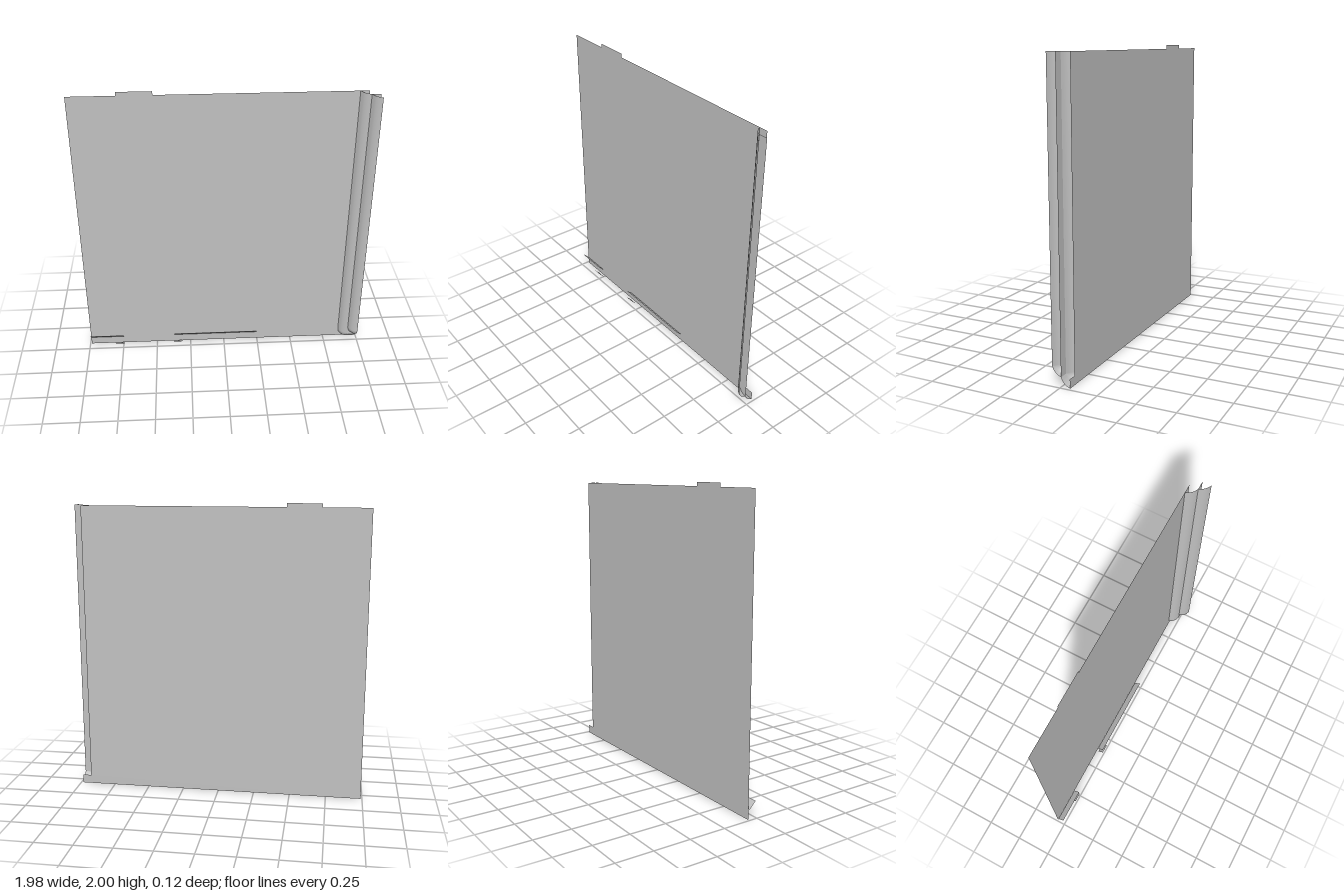
import * as THREE from 'three';

const TOP = 1.975, RIGHT = 0.985, BACK = -0.06, STEP = 0.06;

export function createModel() {
  const group = new THREE.Group();
  const grey = new THREE.MeshStandardMaterial({ color: 0xc0c0c0, side: THREE.DoubleSide });
  grey.name = 'plainGrey';

  const add = (name, geometry) => {
    const mesh = new THREE.Mesh(geometry, grey);
    mesh.name = name;
    group.add(mesh);
  };

  // Surface from a grid of points
  const gridSurface = (rows) => {
    const n = rows[0].length, index = [];
    for (let i = 0; i < rows.length - 1; i++) {
      for (let j = 0; j < n - 1; j++) {
        const a = i * n + j, b = a + n;
        index.push(a, a + 1, b, b, a + 1, b + 1);
      }
    }
    const g = new THREE.BufferGeometry();
    g.setAttribute('position', new THREE.Float32BufferAttribute(rows.flat(2), 3));
    g.setIndex(index);
    g.computeVertexNormals();
    return g;
  };

  // Flat panel with a raised tab on top and a notch at the right for the trim
  const outline = [
    [-0.99, 0], [RIGHT, 0], [RIGHT, 0.06], [0.925, 0.06], [0.925, TOP],
    [-0.445, TOP], [-0.445, 2], [-0.675, 2], [-0.675, TOP], [-0.99, TOP],
  ].map(([x, y]) => new THREE.Vector2(x, y));
  const panel = new THREE.ShapeGeometry(new THREE.Shape(outline));
  panel.translate(0, 0, BACK);
  add('panel', panel);

  // Flat ledge between the two mouldings
  const ledge = new THREE.PlaneGeometry(0.06, TOP - 0.06);
  ledge.translate(0.955, (TOP + 0.06) / 2, 0);
  add('trimLedge', ledge);

  // Bulged moulding: runs down the side, turns a rounded corner, then runs right
  const profile = [[0, 0], [0.012, 0.024], [0.021, 0.035], [0.032, 0.045], [0.045, 0.053], [0.06, 0.06]];
  const moulding = (x0, y0, z0) => gridSurface(profile.map(([d, dz]) => {
    const z = z0 + dz, r = STEP - d, row = [[x0 + d, TOP, z]];
    for (let k = 0; k <= 8; k++) {
      const a = Math.PI * (1 + k / 16);
      row.push([x0 + STEP + r * Math.cos(a), y0 + STEP + r * Math.sin(a), z]);
    }
    if (x0 + STEP < RIGHT - 0.01) row.push([RIGHT, y0 + d, z]);
    return row;
  }));
  add('lowerMoulding', moulding(0.865, 0.002, BACK));
  add('upperMoulding', moulding(0.925, 0.062, 0));

  // Slanted strips leaning forward near the bottom
  const strip = (x1, x2, y1, y2, z1, z2) => gridSurface([
    [[x1, y1, z1], [x2, y1, z1]],
    [[x1, y2, z2], [x2, y2, z2]],
  ]);
  add('sideFlap', strip(-0.99, -0.745, 0.065, 0.11, -0.05, -0.005));
  add('middleFlap', strip(-0.37, 0.245, 0.065, 0.11, -0.05, -0.005));
  for (const x of [-0.81, -0.375]) add('smallFlap', strip(x, x + 0.065, 0.002, 0.045, -0.045, -0.005));

  return group;
}
